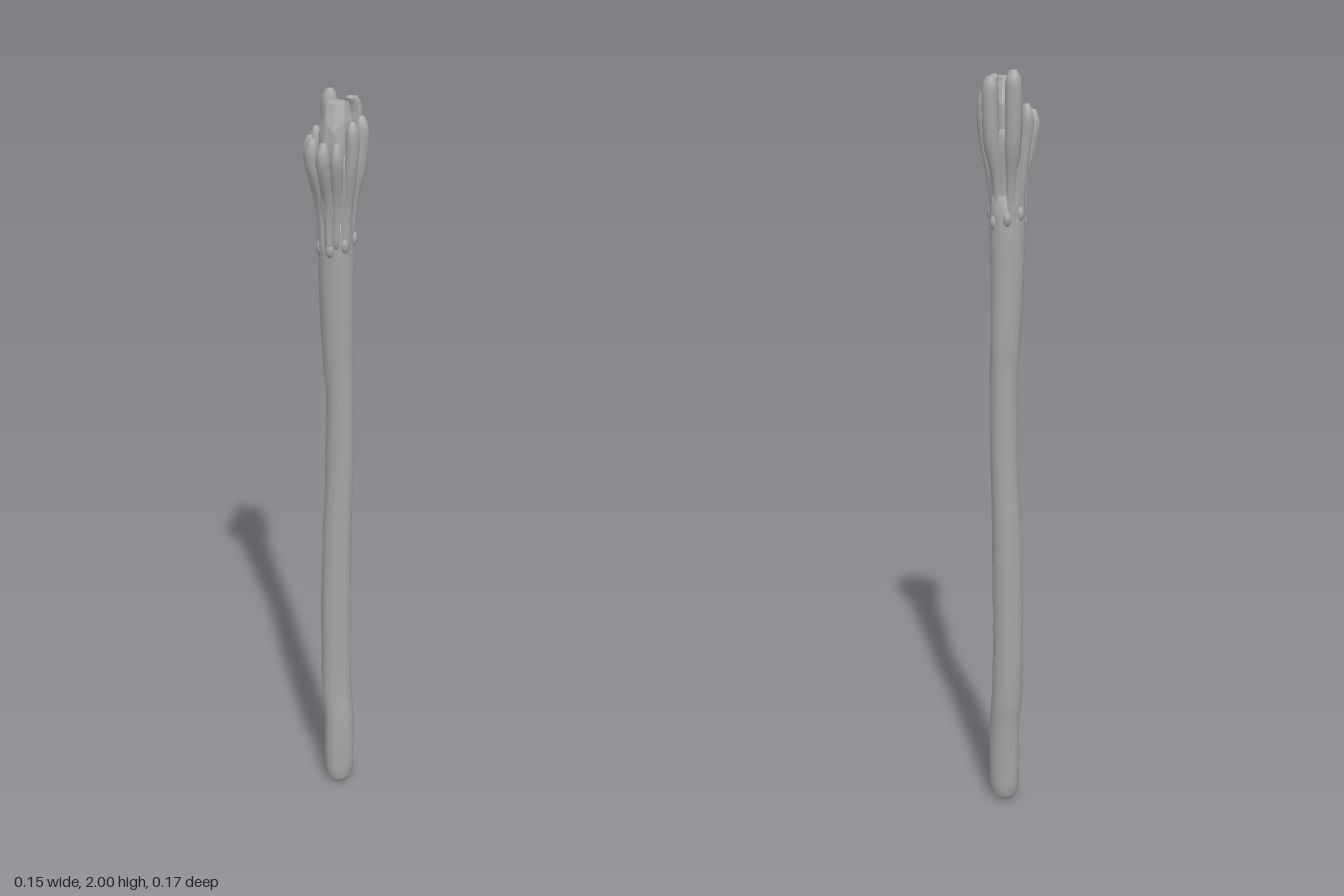
import * as THREE from 'three';

const grey = new THREE.MeshStandardMaterial({ color: 0xa6a6a6 });
grey.name = 'weathered grey';

// Loft horizontal rings [x, y, z, radiusX, radiusZ?] into a closed, slightly gnarled limb
function loft(name, rings, sides, gnarl, seed = 0) {
  const pos = [], idx = [], n = rings.length;
  rings.forEach(([x, y, z, rx, rz = rx], j) => {
    for (let i = 0; i < sides; i++) {
      const a = (i / sides) * Math.PI * 2;
      const k = 1 + gnarl * (Math.sin(a * 3 + seed + y * 2.5) * 0.6 + Math.sin(a * 5 + seed * 2 + j * 1.3) * 0.4);
      pos.push(x + Math.sin(a) * rx * k, y, z + Math.cos(a) * rz * k);
    }
  });
  for (let j = 0; j < n - 1; j++) {
    for (let i = 0; i < sides; i++) {
      const a = j * sides + i, b = j * sides + (i + 1) % sides;
      idx.push(a, b, b + sides, a, b + sides, a + sides);
    }
  }
  // end caps
  const low = pos.length / 3, high = low + 1, top = (n - 1) * sides;
  pos.push(...rings[0].slice(0, 3), ...rings[n - 1].slice(0, 3));
  for (let i = 0; i < sides; i++) {
    const k = (i + 1) % sides;
    idx.push(low, k, i, high, top + i, top + k);
  }
  const geo = new THREE.BufferGeometry();
  geo.setAttribute('position', new THREE.Float32BufferAttribute(pos, 3));
  geo.setIndex(idx);
  geo.computeVertexNormals();
  const mesh = new THREE.Mesh(geo, grey);
  mesh.name = name;
  return mesh;
}

// Tapered finger along a curve, rounded at both ends
function finger(name, points, radii, seed) {
  const curve = new THREE.CatmullRomCurve3(points.map(p => new THREE.Vector3(...p)));
  const rings = [], steps = 16;
  for (let s = 0; s <= steps; s++) {
    const t = s / steps, p = curve.getPoint(t);
    const f = t * (radii.length - 1), i = Math.min(Math.floor(f), radii.length - 2);
    const r = THREE.MathUtils.lerp(radii[i], radii[i + 1], f - i);
    const end = Math.min(1, 0.45 + Math.min(t, 1 - t) * 6);
    rings.push([p.x, p.y, p.z, r * end]);
  }
  return loft(name, rings, 9, 0.08, seed);
}

export function createModel() {
  const staff = new THREE.Group();
  staff.name = 'staff';

  // Crooked wooden shaft with a rounded foot
  staff.add(loft('shaft', [
    [0.005, 0, -0.008, 0.014], [0.005, 0.006, -0.008, 0.027], [0.005, 0.025, -0.008, 0.038],
    [0.005, 0.06, -0.008, 0.041], [0.004, 0.14, -0.009, 0.042], [0.002, 0.23, -0.011, 0.041],
    [-0.006, 0.28, -0.013, 0.042], [-0.012, 0.33, -0.015, 0.042], [-0.013, 0.45, -0.015, 0.041],
    [-0.015, 0.6, -0.017, 0.041], [-0.013, 0.72, -0.017, 0.04], [-0.011, 0.82, -0.017, 0.039],
    [-0.006, 0.94, -0.019, 0.037], [-0.003, 1.04, -0.02, 0.037], [-0.001, 1.15, -0.019, 0.036],
    [0, 1.25, -0.018, 0.036], [-0.004, 1.29, -0.017, 0.038], [-0.005, 1.33, -0.017, 0.039],
    [-0.005, 1.45, -0.012, 0.042], [-0.005, 1.55, -0.01, 0.044], [-0.005, 1.64, -0.009, 0.045],
    [-0.003, 1.7, -0.006, 0.043],
  ], 14, 0.05, 0.8));

  // Flared socket joining the fingers
  staff.add(loft('socket', [
    [-0.004, 1.62, -0.008, 0.038], [-0.004, 1.65, -0.007, 0.045], [-0.003, 1.7, -0.004, 0.044],
    [-0.003, 1.75, 0, 0.049], [-0.002, 1.8, 0, 0.055, 0.057], [-0.002, 1.84, 0, 0.055, 0.059],
    [-0.001, 1.86, 0, 0.048, 0.052], [0, 1.865, 0, 0.035],
  ], 16, 0.04, 2));

  // Faceted stone held in the grip
  const stoneGeo = new THREE.IcosahedronGeometry(1, 1);
  const p = stoneGeo.attributes.position;
  for (let i = 0; i < p.count; i++) {
    p.setXYZ(i, p.getX(i) * 0.042, Math.max(-1, Math.min(0.85, p.getY(i))) * 0.125, p.getZ(i) * 0.05);
  }
  stoneGeo.computeVertexNormals();
  const stone = new THREE.Mesh(stoneGeo, grey);
  stone.name = 'stone';
  stone.position.set(0.001, 1.879, -0.005);
  staff.add(stone);

  // Gripping fingers: tip x, tip z, tip height, thickness
  const tips = [
    [-0.018, 0.066, 1.905, 0.017], [0.017, 0.066, 1.9, 0.017],
    [0.042, 0.046, 1.9, 0.016], [0.058, 0.008, 1.945, 0.016],
    [0.049, -0.036, 1.95, 0.018], [0, -0.066, 1.985, 0.021],
    [-0.052, -0.038, 2, 0.021], [-0.056, 0.008, 1.92, 0.016],
    [-0.047, 0.042, 1.905, 0.016],
  ];
  tips.forEach(([x, z, top, r], i) => {
    const len = Math.hypot(x, z), ux = x / len, uz = z / len;
    const at = (d, y) => [ux * d - 0.003, y, uz * d - 0.004];
    const foot = 1.62 + (i % 3) * 0.008;
    staff.add(finger('finger', [
      at(0.037, foot), at(0.035, 1.68), at(0.041, 1.75),
      [x * 0.88, 1.82, z * 0.88], [x, top - 0.045, z], [x * 0.97, top, z * 0.97],
    ], [0.012, 0.012, 0.014, r, r, r * 0.95], i));
  });

  // Knobby root ends around the neck
  for (let i = 0; i < 7; i++) {
    const a = (i / 7) * Math.PI * 2 + 0.3;
    const knob = new THREE.Mesh(new THREE.SphereGeometry(1, 8, 6), grey);
    knob.name = 'rootKnob';
    knob.scale.set(0.012, 0.02, 0.012);
    knob.position.set(-0.004 + Math.sin(a) * 0.04, 1.632 + (i % 3) * 0.011, -0.008 + Math.cos(a) * 0.04);
    staff.add(knob);
  }

  // Curled thorn at the back and small tip on the rear finger
  staff.add(finger('hookedTip', [
    [0, 1.93, -0.064], [0.004, 1.965, -0.058], [0.006, 1.99, -0.042],
  ], [0.016, 0.016, 0.012], 4));

  return staff;
}
